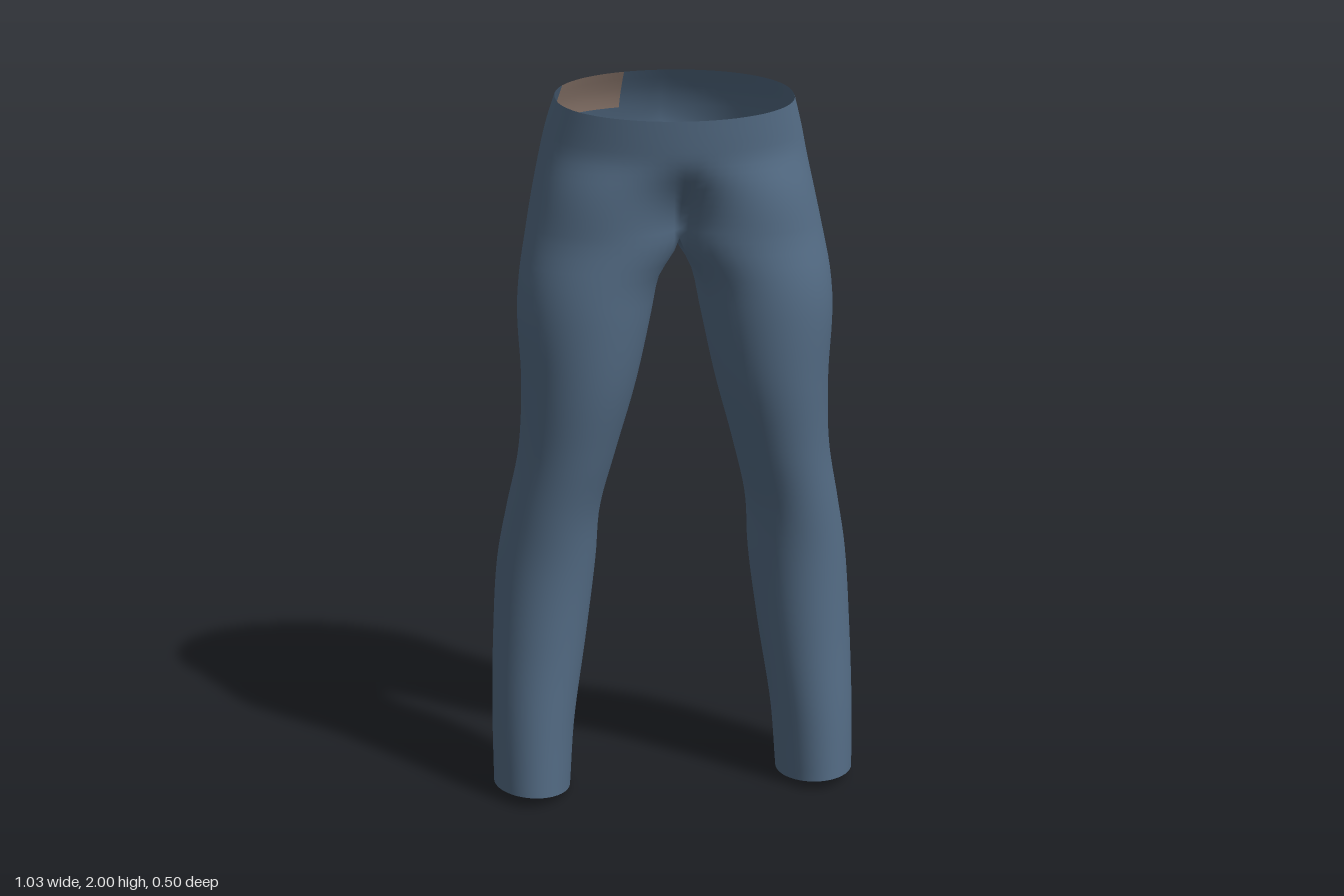
import * as THREE from 'three';
import { mergeVertices } from 'three/addons/utils/BufferGeometryUtils.js';

// Per height: y, outer x, inner x, front z, back z
const PROFILE = [
  [0.02, 0.515, 0.30, 0.16, -0.145],
  [0.20, 0.515, 0.285, 0.15, -0.155],
  [0.45, 0.507, 0.247, 0.133, -0.172],
  [0.68, 0.49, 0.217, 0.133, -0.18],
  [0.83, 0.463, 0.206, 0.15, -0.165],
  [1.00, 0.43, 0.165, 0.18, -0.135],
  [1.20, 0.42, 0.11, 0.215, -0.135],
  [1.40, 0.428, 0.066, 0.23, -0.145],
  [1.50, 0.42, 0.045, 0.228, -0.157],
  [1.60, 0.402, 0.0, 0.222, -0.185],
  [1.70, 0.382, 0.0, 0.222, -0.222],
  [1.80, 0.36, 0.0, 0.235, -0.25],
  [1.88, 0.342, 0.0, 0.243, -0.235],
  [1.965, 0.318, 0.0, 0.25, -0.19],
];
const TOP = 1.965, CROTCH = 1.6, HEM = 0.02;
const OUTER = 36, INNER = 12, COLS = OUTER + INNER; // columns around each half
const TORSO_ROWS = 15, LEG_ROWS = 46;
const SEAM = (150 * Math.PI) / 180; // where the outer arc meets the inner leg

const { lerp, smoothstep } = THREE.MathUtils;

const sampler = new THREE.CubicInterpolant(
  PROFILE.map((r) => r[0]),
  PROFILE.flatMap((r) => r.slice(1)),
  4,
  new Float32Array(4),
);

// One point of the left half: column runs front, outside, back, inner leg
function surfacePoint(y, j) {
  const [outer, inner, front, back] = sampler.evaluate(y);
  const xin = y >= CROTCH ? 0 : Math.max(0, inner);
  const cz = (front + back) / 2, rz = (front - back) / 2;
  const phi = j <= OUTER
    ? SEAM * (1 - (2 * j) / OUTER)
    : -SEAM - ((2 * Math.PI - 2 * SEAM) * (j - OUTER)) / INNER;

  // Leg lobe, flattened against the centre plane near the crotch
  const flat = Math.max(0, (Math.cos(phi) - Math.cos(SEAM)) / (1 - Math.cos(SEAM)));
  const round = (1 + Math.cos(phi)) / 2;
  const legBlend = 1 - smoothstep(y, 1.42, CROTCH);
  let x = xin + (outer - xin) * lerp(flat, round, legBlend);
  let z = cz + rz * Math.sin(phi);

  // Hips blend from the two lobes into one oval waist
  if (y >= CROTCH && j <= OUTER) {
    const t = (Math.PI * j) / OUTER, c = Math.cos(t);
    const s = 1 - smoothstep(y, CROTCH, 1.86);
    const oval = Math.sign(c) * Math.abs(c) ** 0.9;
    const puff = 1 + 0.28 * s * (1 - s);
    x = lerp(outer * Math.sin(t), x, s);
    z = cz + rz * puff * lerp(oval, Math.sin(phi), s);
    if (j === 0 || j === OUTER) x = 0;
  }

  // Sloping waist and hem, and the dip under the crotch
  let h = y;
  h -= (z - 0.03) * 0.16 * smoothstep(y, 1.72, TOP);
  h += (0.09 * z - 0.014 * (1 - round)) * (1 - smoothstep(y, HEM, 0.2));
  if (j > OUTER) {
    const nearCrotch = smoothstep(y, 1.5, CROTCH);
    h -= 0.012 * nearCrotch * Math.sin((Math.PI * (j - OUTER)) / INNER);
  }
  return [x, h, z];
}

function buildSurface() {
  const rows = [];
  for (let i = 0; i <= TORSO_ROWS; i++) rows.push(lerp(TOP, CROTCH, i / TORSO_ROWS));
  for (let i = 1; i <= LEG_ROWS; i++) rows.push(lerp(CROTCH, HEM, i / LEG_ROWS));

  const positions = [], cloth = [], patch = [];
  for (const side of [1, -1]) {
    const base = positions.length / 3;
    for (const y of rows) {
      for (let j = 0; j < COLS; j++) {
        const [x, h, z] = surfacePoint(y, j);
        positions.push(side * x, h, z);
      }
    }
    for (let i = 0; i < rows.length - 1; i++) {
      const count = i < TORSO_ROWS ? OUTER : COLS; // torso is open at the centre plane
      for (let j = 0; j < count; j++) {
        const k = (j + 1) % COLS;
        const a = base + i * COLS + j, b = base + i * COLS + k;
        const c = a + COLS, d = b + COLS;
        // Patch sits on the right back, under the waist edge
        const onPatch = side < 0 && i < 4 && j >= OUTER - 13 && j < OUTER - 4;
        const faces = side > 0 ? [a, c, b, b, c, d] : [a, b, c, b, d, c];
        (onPatch ? patch : cloth).push(...faces);
      }
    }
  }
  const raw = new THREE.BufferGeometry();
  raw.setAttribute('position', new THREE.Float32BufferAttribute(positions, 3));
  raw.setIndex([...cloth, ...patch]);
  const whole = mergeVertices(raw, 1e-5);
  whole.computeVertexNormals();
  return { whole, clothCount: cloth.length };
}

// Geometry using part of the faces, keeping the shared smooth normals
function subset(whole, start, end) {
  const g = new THREE.BufferGeometry();
  g.setAttribute('position', whole.attributes.position);
  g.setAttribute('normal', whole.attributes.normal);
  g.setIndex(Array.from(whole.index.array.slice(start, end)));
  return g;
}

export function createModel() {
  const denim = new THREE.MeshStandardMaterial({ color: 0x536b84, side: THREE.DoubleSide });
  denim.name = 'denim blue';
  const leather = new THREE.MeshStandardMaterial({ color: 0x9a8478, side: THREE.DoubleSide });
  leather.name = 'patch brown';

  const { whole, clothCount } = buildSurface();
  const trousers = new THREE.Mesh(subset(whole, 0, clothCount), denim);
  trousers.name = 'trousers';
  const backPatch = new THREE.Mesh(subset(whole, clothCount, whole.index.count), leather);
  backPatch.name = 'backPatch';

  const model = new THREE.Group();
  model.name = 'trousersModel';
  model.add(trousers, backPatch);
  return model;
}
